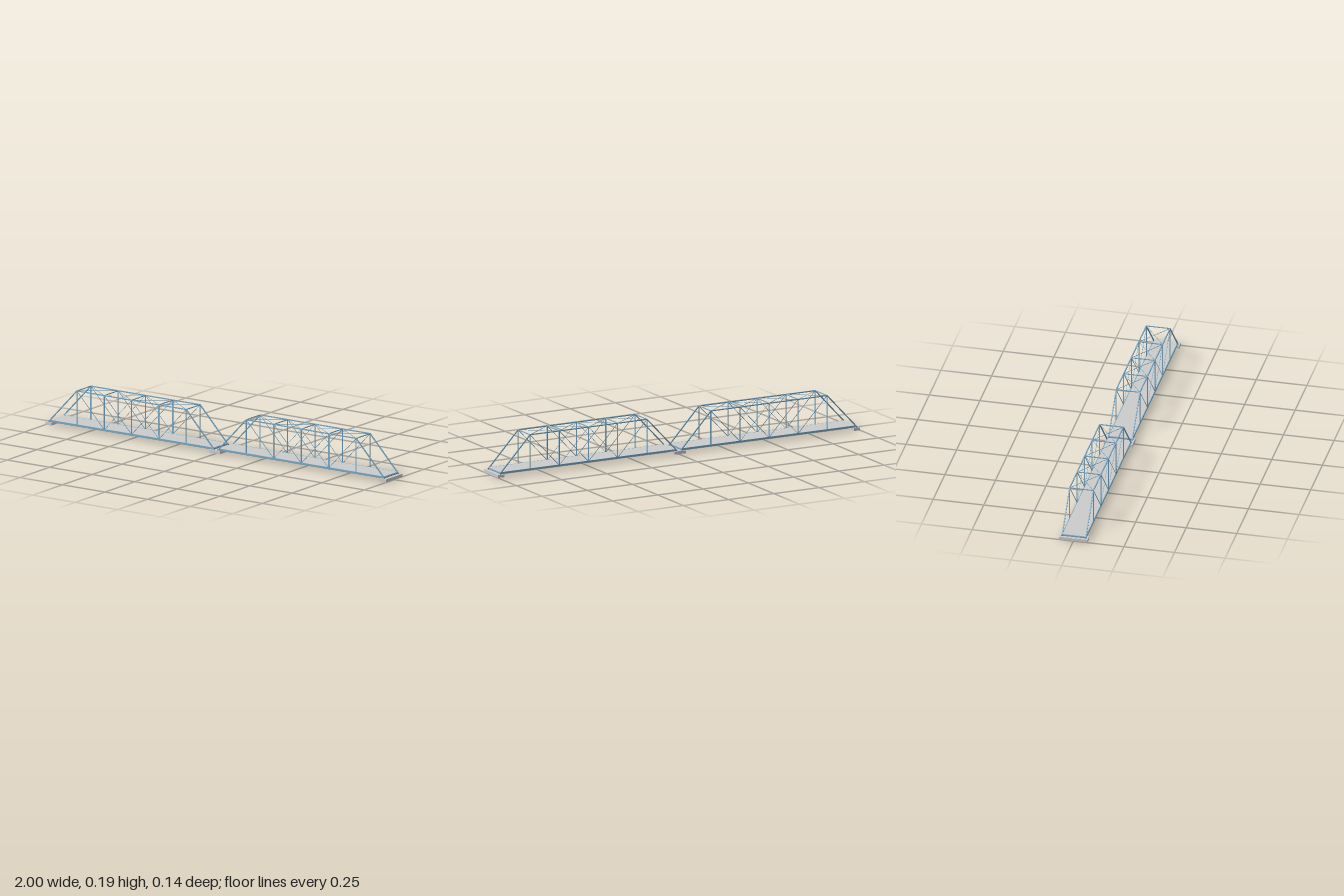
import * as THREE from 'three';

const grey = new THREE.MeshStandardMaterial({ color: 0xcccccc });
const steel = new THREE.MeshStandardMaterial({ color: 0x79a9c6 });

const SIDE = 0.0585;   // truss plane
const LOW = 0.0205;    // lower joints
const HIGH = 0.1905;   // upper joints
const PANELS = 6;

function box(parent, name, material, size, position) {
  const mesh = new THREE.Mesh(new THREE.BoxGeometry(...size), material);
  mesh.name = name;
  mesh.position.set(...position);
  parent.add(mesh);
  return mesh;
}

// Straight bar of rectangular section between two points
function bar(parent, name, a, b, width, height, material = steel) {
  const from = new THREE.Vector3(...a), to = new THREE.Vector3(...b);
  const mesh = new THREE.Mesh(new THREE.BoxGeometry(width, height, from.distanceTo(to)), material);
  mesh.name = name;
  mesh.position.copy(from).add(to).multiplyScalar(0.5);
  mesh.lookAt(to);
  parent.add(mesh);
  return mesh;
}

// One side truss: chords, sloping end posts, verticals and diagonals
function buildTruss(xs, z) {
  const truss = new THREE.Group();
  truss.name = 'sideTruss';
  const low = i => [xs[i], LOW, z], high = i => [xs[i], HIGH, z];
  const last = PANELS, mid = PANELS / 2;

  box(truss, 'bottomChord', steel, [xs[last] - xs[0], 0.009, 0.004], [(xs[0] + xs[last]) / 2, 0.0195, z]);
  bar(truss, 'topChord', high(1), high(last - 1), 0.005, 0.005);
  bar(truss, 'endPost', low(0), high(1), 0.005, 0.005);
  bar(truss, 'endPost', low(last), high(last - 1), 0.005, 0.005);

  for (let i = 1; i < last; i++) bar(truss, 'vertical', low(i), high(i), 0.004, 0.004);
  for (let i = 1; i < last - 1; i++) {
    const inner = i === mid - 1 || i === mid;
    const falling = i < mid;
    if (falling || inner) bar(truss, 'diagonal', high(i), low(i + 1), 0.002, falling ? 0.0025 : 0.0015);
    if (!falling || inner) bar(truss, 'diagonal', low(i), high(i + 1), 0.002, falling ? 0.0015 : 0.0025);
  }
  return truss;
}

// One complete span from x0 to x1
function buildSpan(x0, x1) {
  const span = new THREE.Group();
  span.name = 'span';
  const centre = (x0 + x1) / 2, length = x1 - x0;
  const xs = Array.from({ length: PANELS + 1 }, (_, i) => x0 + (length * i) / PANELS);

  for (const s of [-1, 1]) {
    span.add(buildTruss(xs, s * SIDE));
    // bearing shoes under the truss ends
    for (const x of [x0, x1]) box(span, 'bearing', steel, [0.012, 0.006, 0.008], [x, 0.0175, s * SIDE]);
  }

  // road deck on stringers and floor beams
  box(span, 'deck', grey, [length, 0.003, 0.113], [centre, 0.0225, 0]);
  for (let i = 0; i < 6; i++) {
    box(span, 'stringer', steel, [length, 0.005, 0.003], [centre, 0.0185, -0.045 + i * 0.018]);
  }
  for (const x of xs) box(span, 'floorBeam', steel, [0.005, 0.0075, 0.119], [x, 0.01775, 0]);

  // struts and crossed bracing between the top chords
  for (let i = 1; i < PANELS; i++) {
    bar(span, 'topStrut', [xs[i], HIGH, -SIDE], [xs[i], HIGH, SIDE], 0.004, 0.004);
    if (i === PANELS - 1) continue;
    for (const s of [-1, 1]) {
      bar(span, 'topBracing', [xs[i], HIGH, -s * SIDE], [xs[i + 1], HIGH, s * SIDE], 0.0018, 0.0018);
    }
  }
  return span;
}

export function createModel() {
  const bridge = new THREE.Group();
  bridge.name = 'trussBridge';

  // supports at both ends and between the spans
  for (const [x0, x1] of [[-1, -0.966], [-0.037, 0.025], [0.964, 1]]) {
    box(bridge, 'pier', grey, [x1 - x0, 0.0148, 0.14], [(x0 + x1) / 2, 0.0074, 0]);
  }

  bridge.add(buildSpan(-0.984, -0.021), buildSpan(0.01, 0.979));
  return bridge;
}
